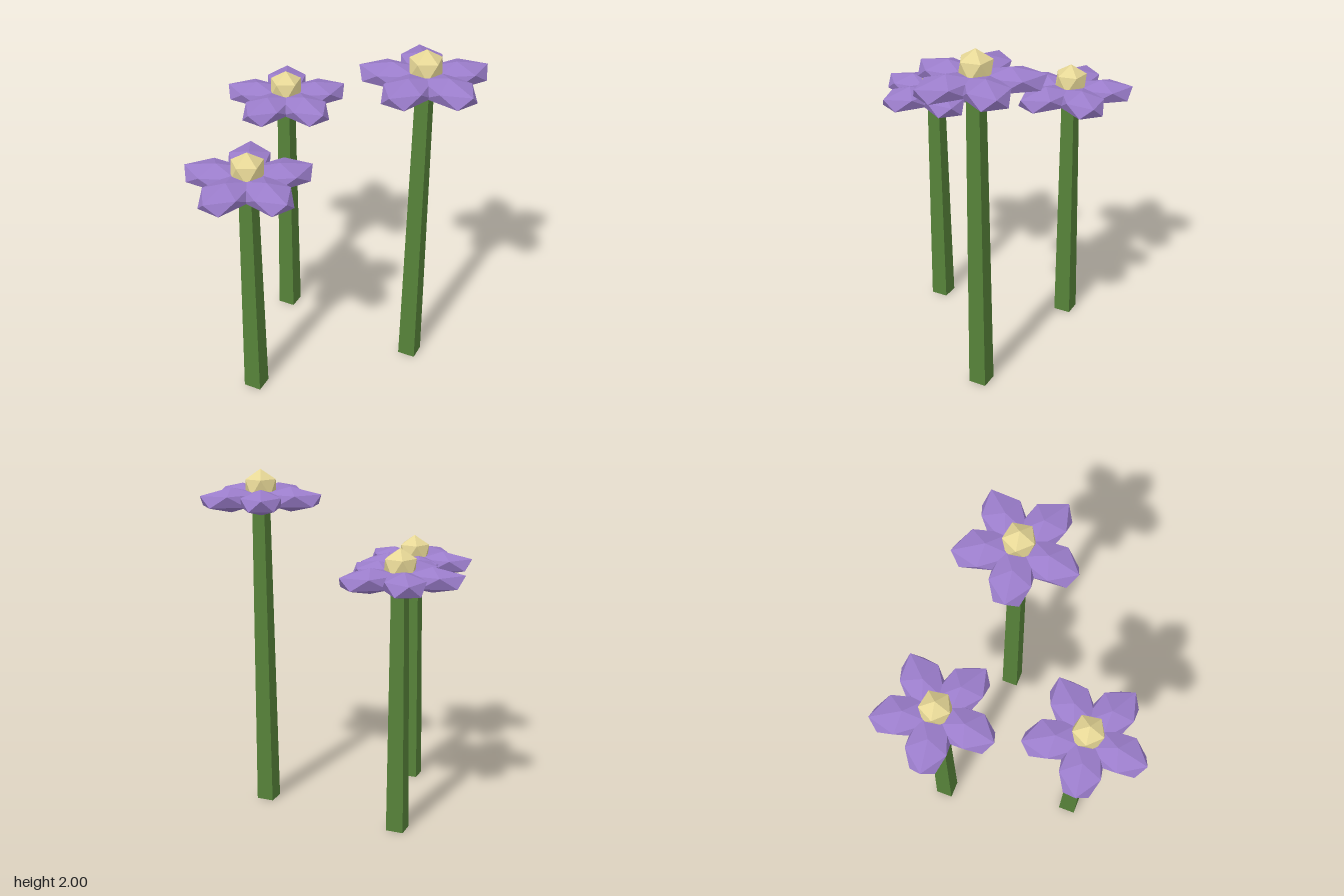
import * as THREE from 'three';

const mat = (color) => new THREE.MeshStandardMaterial({ color, flatShading: true });

// Icosahedron with one corner straight up and an upper-ring corner towards +x
function gem(rx, ry, rz) {
  const g = new THREE.IcosahedronGeometry(1, 0);
  g.rotateZ(-Math.atan2(2, 1 + Math.sqrt(5)));
  g.scale(rx, ry, rz);
  return g;
}

export function createModel() {
  const model = new THREE.Group();
  model.name = 'flowers';
  const green = mat(0x568239);
  const purple = mat(0x9b7dcb);
  const yellow = mat(0xe6d796);

  const petalGeo = gem(0.2, 0.07, 0.13).translate(0.175, 0, 0);
  const centreGeo = gem(0.1, 0.1, 0.1);

  // x, z and height of each blossom
  const spots = [
    [-0.51, 0.332, 1.395],
    [-0.09, -0.355, 1.47],
    [0.45, 0.355, 1.835],
  ];

  for (const [x, z, h] of spots) {
    const flower = new THREE.Group();
    flower.name = 'flower';
    flower.position.set(x, 0, z);

    // Tapered four-sided stem, edge towards the front
    const stem = new THREE.Mesh(new THREE.CylinderGeometry(0.053, 0.072, h, 4), green);
    stem.name = 'stem';
    stem.position.y = h / 2;
    flower.add(stem);

    // Five petals in a ring
    for (let i = 0; i < 5; i++) {
      const petal = new THREE.Mesh(petalGeo, purple);
      petal.name = 'petal';
      petal.position.y = h;
      petal.rotation.y = (i * Math.PI * 2) / 5;
      flower.add(petal);
    }

    // Faceted centre
    const centre = new THREE.Mesh(centreGeo, yellow);
    centre.name = 'flowerCentre';
    centre.position.y = h + 0.065;
    flower.add(centre);

    model.add(flower);
  }
  return model;
}
